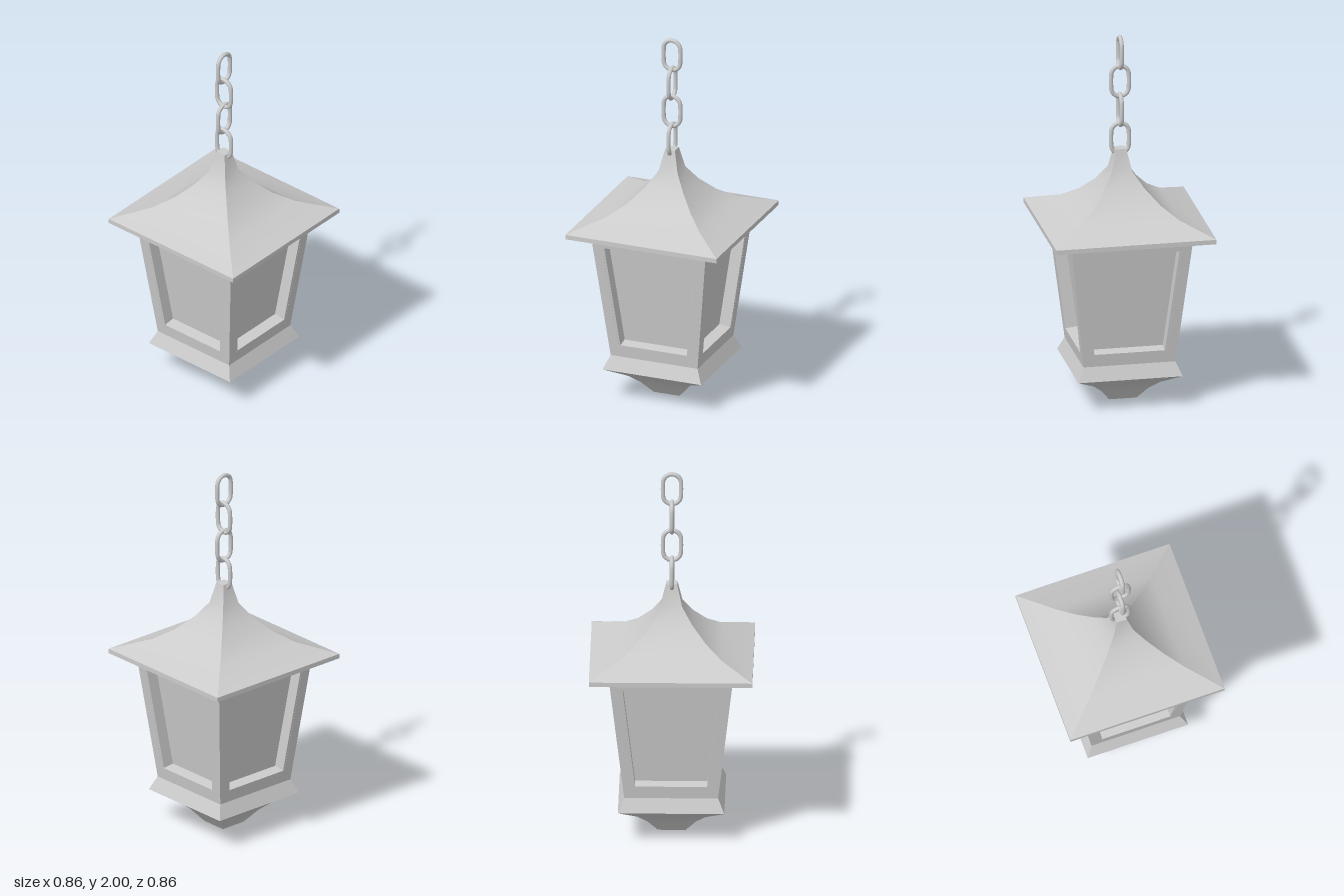
import * as THREE from 'three';

const grey = new THREE.MeshStandardMaterial({ color: 0xcccccc });
const twoSided = new THREE.MeshStandardMaterial({ color: 0xcccccc, side: THREE.DoubleSide });

// Square loft: each run is a list of [halfWidth, y], smooth along the run,
// sharp between runs and at the four corners.
function squareLoft(name, runs) {
  const pos = [], index = [];
  for (let side = 0; side < 4; side++) {
    const c = Math.round(Math.cos(side * Math.PI / 2)), s = Math.round(Math.sin(side * Math.PI / 2));
    for (const run of runs) {
      const base = pos.length / 3;
      run.forEach(([w, y], i) => {
        for (const x of [-w, w]) pos.push(x * c + w * s, y, w * c - x * s);
        if (i === 0) return;
        const a = base + 2 * i - 2;
        index.push(a, a + 1, a + 3, a, a + 3, a + 2);
      });
    }
  }
  const geo = new THREE.BufferGeometry();
  geo.setAttribute('position', new THREE.Float32BufferAttribute(pos, 3));
  geo.setIndex(index);
  geo.computeVertexNormals();
  const mesh = new THREE.Mesh(geo, grey);
  mesh.name = name;
  return mesh;
}

// Upright trapezoid outline, symmetric about x = 0
function trapezoid(Type, wBottom, yBottom, wTop, yTop) {
  return new Type([[-wBottom, yBottom], [wBottom, yBottom], [wTop, yTop], [-wTop, yTop]]
    .map(([x, y]) => new THREE.Vector2(x, y)));
}

// One sloping wall with a recessed pane
function lanternSide() {
  const y0 = 0.249, y1 = 0.952, w0 = 0.247, w1 = 0.327, depth = 0.065;
  const tilt = Math.atan((w1 - w0) / (y1 - y0));
  const local = y => (y - y0) / Math.cos(tilt);
  const opening = [0.2, local(0.318), 0.265, local(0.886)];

  const wall = trapezoid(THREE.Shape, w0, 0, w1, local(y1));
  wall.holes.push(trapezoid(THREE.Path, ...opening));
  const frame = new THREE.Mesh(
    new THREE.ExtrudeGeometry(wall, { depth, bevelEnabled: false }).translate(0, 0, -depth), grey);
  frame.name = 'windowFrame';

  const pane = new THREE.Mesh(
    new THREE.ShapeGeometry(trapezoid(THREE.Shape, ...opening)).translate(0, 0, -depth), twoSided);
  pane.name = 'windowPane';

  const panel = new THREE.Group();
  panel.add(frame, pane);
  panel.position.set(0, y0, w0);
  panel.rotation.x = tilt;
  const side = new THREE.Group();
  side.name = 'lanternSide';
  side.add(panel);
  return side;
}

// Oval chain link in the xy plane
function linkGeometry() {
  const r = 0.047, straight = 0.037, points = [];
  for (const half of [0, 1]) {
    for (let i = 0; i <= 8; i++) {
      const a = Math.PI * (half + i / 8);
      points.push(new THREE.Vector3(r * Math.cos(a), r * Math.sin(a) + (half ? -straight : straight), 0));
    }
  }
  return new THREE.TubeGeometry(new THREE.CatmullRomCurve3(points, true), 48, 0.0115, 10, true);
}

export function createModel() {
  const lantern = new THREE.Group();
  lantern.name = 'hangingLantern';

  // Curved foot and flared collar
  lantern.add(squareLoft('base', [
    [[0, 0], [0.073, 0]],
    [[0.073, 0], [0.127, 0.069], [0.18, 0.117], [0.28, 0.175]],
    [[0.28, 0.175], [0.247, 0.25]],
    [[0.247, 0.25], [0, 0.25]],
  ]));

  // Four walls
  for (let i = 0; i < 4; i++) {
    const side = lanternSide();
    side.rotation.y = i * Math.PI / 2;
    lantern.add(side);
  }

  // Swept roof with a thin eave
  lantern.add(squareLoft('roof', [
    [[0, 0.952], [0.43, 0.952]],
    [[0.43, 0.952], [0.43, 0.977]],
    [[0.43, 0.977], [0.265, 1.04], [0.18, 1.1], [0.107, 1.178], [0.054, 1.258], [0.028, 1.374]],
    [[0.028, 1.374], [0, 1.374]],
  ]));

  // Chain, alternate links turned a quarter
  const chain = new THREE.Group();
  chain.name = 'chain';
  const geo = linkGeometry();
  for (let i = 0; i < 4; i++) {
    const link = new THREE.Mesh(geo, grey);
    link.name = 'chainLink';
    link.position.y = 1.9045 - i * 0.159;
    link.rotation.y = i % 2 ? 0 : Math.PI / 2;
    chain.add(link);
  }
  lantern.add(chain);
  return lantern;
}
